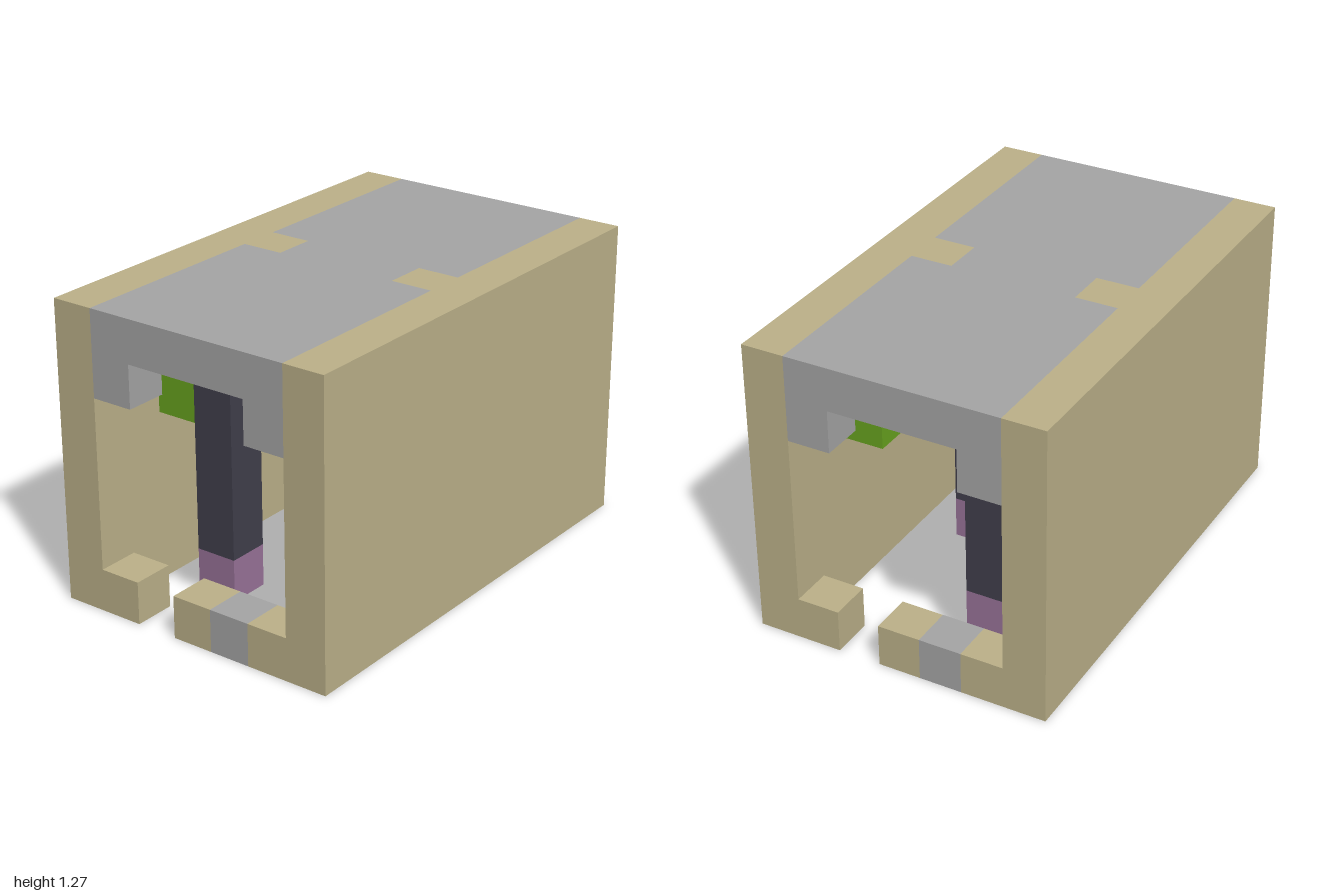
import * as THREE from 'three';

const U = 2 / 11; // one building cell

export function createModel() {
  const model = new THREE.Group();
  const material = (name, color) => {
    const m = new THREE.MeshStandardMaterial({ color });
    m.name = name;
    return m;
  };
  const tan = material('tan', 0xbdb28a);
  const grey = material('grey', 0xa6a6a6);
  const green = material('green', 0x68a41f);
  const dark = material('dark slate', 0x413f4c);
  const mauve = material('mauve', 0x997399);

  // Block centred on cell column x, z, rising from cell row y; sizes in cells
  const block = (name, mat, x, y, z, w = 1, h = 1, d = 1) => {
    const mesh = new THREE.Mesh(new THREE.BoxGeometry(w * U, h * U, d * U), mat);
    mesh.name = name;
    mesh.position.set(x * U, (y + h / 2) * U, z * U);
    model.add(mesh);
  };

  // Roof: wide front and back panels joined by a narrower middle
  block('roofMiddle', grey, 0, 6, 0, 3, 1, 1);

  for (const s of [1, -1]) {
    block('sideWall', tan, 3 * s, 0, 0, 1, 7, 11);
    block('roofPanel', grey, 0, 6, 3 * s, 5, 1, 5);
    block('roofTab', tan, 2 * s, 6, 0);
    block('wallPatch', grey, 2.485 * s, 5, 0, 0.03, 1, 1);

    // Corner drops under the end openings and brackets on the walls
    for (const t of [1, -1]) {
      block('cornerDrop', grey, 2 * t, 5, 5 * s);
      block('bracket', green, 2 * t, 4, 3 * s);
    }

    // Bottom sill at each end, with a gap on one side
    block('shortSill', tan, -2 * s, 0, 5 * s);
    block('longSill', tan, 2 * s, 0, 5 * s);
    block('sillInset', grey, s, 0, 5 * s);
    block('sillTip', tan, 0, 0, 5 * s);
  }

  // Hanging pillars with coloured feet
  for (const [x, z] of [[-1, 3], [-1, -3], [1, 0]]) {
    block('pillar', dark, x, 1, z, 1, 5, 1);
    block('pillarFoot', mauve, x, 0, z);
  }
  block('footStub', grey, 0, 0, 0);

  return model;
}
